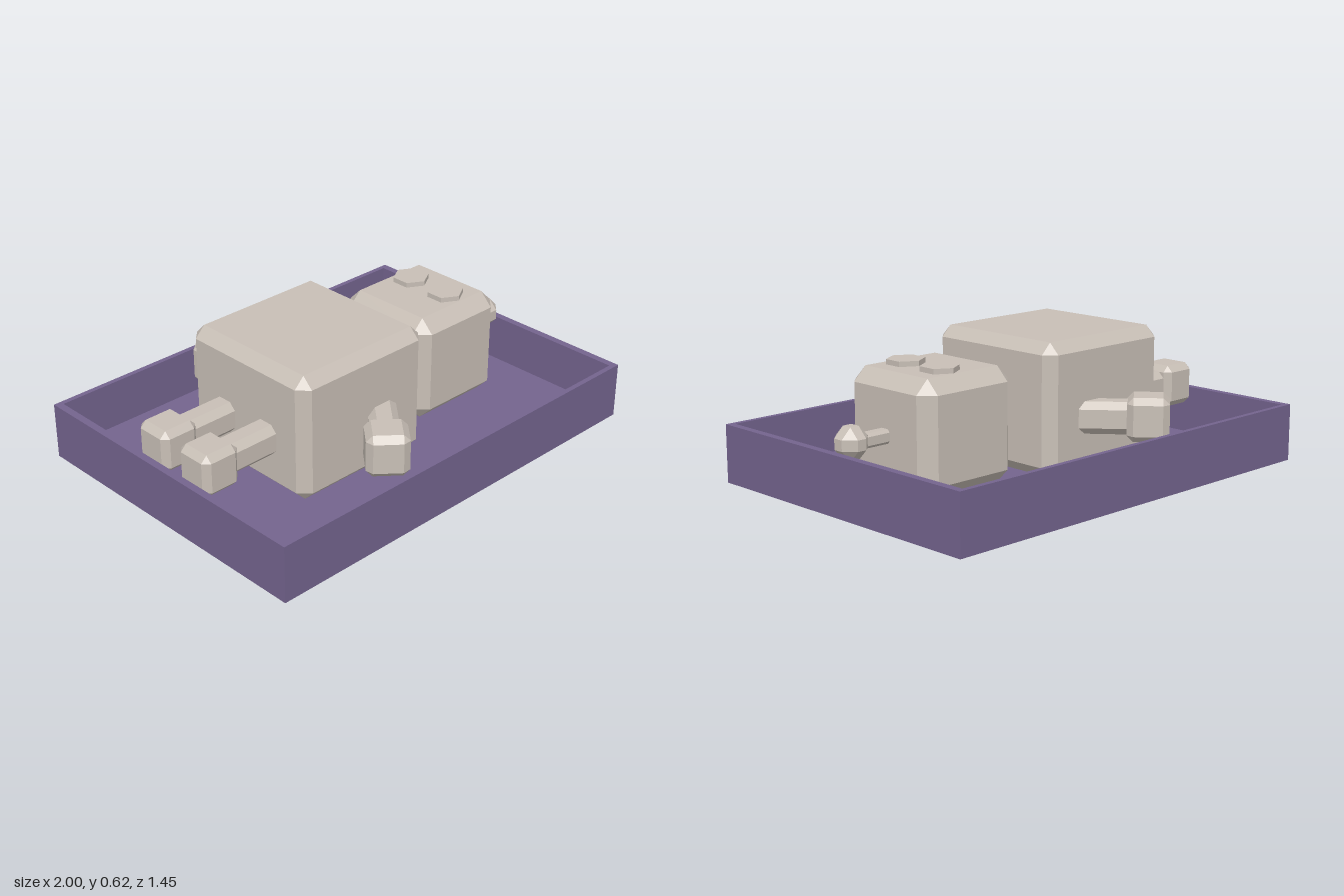
import * as THREE from 'three';
import { ConvexGeometry } from 'three/addons/geometries/ConvexGeometry.js';

const bodyMaterial = new THREE.MeshStandardMaterial({ color: 0xc8bfb6, flatShading: true });
const trayMaterial = new THREE.MeshStandardMaterial({ color: 0x74648e, flatShading: true });

// Box with every edge and corner cut by a flat chamfer
function chamferBox(w, h, d, c) {
  const half = [w / 2, h / 2, d / 2];
  const points = [];
  for (const sx of [-1, 1]) for (const sy of [-1, 1]) for (const sz of [-1, 1]) {
    const sign = [sx, sy, sz];
    for (let full = 0; full < 3; full++) {
      points.push(new THREE.Vector3(...half.map((v, i) => sign[i] * (i === full ? v : v - c))));
    }
  }
  return new ConvexGeometry(points);
}

function addMesh(parent, name, geometry, material, x, y, z) {
  const mesh = new THREE.Mesh(geometry, material);
  mesh.name = name;
  mesh.position.set(x, y, z);
  parent.add(mesh);
  return mesh;
}

// Limb running along local +x from its inner end, finishing in a chunky block
function makeLimb(name, endName, length, thickness, height, blockSize) {
  const limb = new THREE.Group();
  limb.name = name;
  addMesh(limb, name + 'Bar', chamferBox(length, height, thickness, 0.03), bodyMaterial, length / 2, 0, 0);
  addMesh(limb, endName, chamferBox(blockSize, 0.19, blockSize, 0.028), bodyMaterial, length, 0, 0);
  return limb;
}

function rectangle(Type, w, d) {
  const path = new Type();
  path.moveTo(-w, -d);
  path.lineTo(w, -d);
  path.lineTo(w, d);
  path.lineTo(-w, d);
  path.closePath();
  return path;
}

export function createModel() {
  const model = new THREE.Group();
  model.name = 'figureInTray';

  // Open tray: wall ring and floor
  const tray = new THREE.Group();
  tray.name = 'tray';
  model.add(tray);
  const ring = rectangle(THREE.Shape, 1, 0.725);
  ring.holes.push(rectangle(THREE.Path, 0.967, 0.702));
  const walls = new THREE.ExtrudeGeometry(ring, { depth: 0.255, bevelEnabled: false });
  walls.rotateX(-Math.PI / 2);
  addMesh(tray, 'trayWalls', walls, trayMaterial, 0, 0, 0);
  addMesh(tray, 'trayFloor', new THREE.BoxGeometry(1.94, 0.04, 1.41), trayMaterial, 0, 0.02, 0);

  // Figure lying on its back, head towards +x
  const figure = new THREE.Group();
  figure.name = 'figure';
  model.add(figure);
  addMesh(figure, 'torso', chamferBox(0.70, 0.575, 0.70, 0.048), bodyMaterial, -0.21, 0.333, 0.008);
  addMesh(figure, 'neck', chamferBox(0.24, 0.17, 0.18, 0.045), bodyMaterial, 0.19, 0.285, 0);
  addMesh(figure, 'head', chamferBox(0.50, 0.49, 0.50, 0.06), bodyMaterial, 0.487, 0.295, -0.003);

  // Eyes
  for (const z of [-0.108, 0.1]) {
    addMesh(figure, 'eye', new THREE.CylinderGeometry(0.082, 0.082, 0.04, 6), bodyMaterial, 0.535, 0.542, z);
  }

  // Antenna
  addMesh(figure, 'antennaRod', chamferBox(0.18, 0.06, 0.06, 0.012), bodyMaterial, 0.79, 0.287, 0);
  addMesh(figure, 'antennaTip', chamferBox(0.132, 0.136, 0.136, 0.045), bodyMaterial, 0.91, 0.29, 0);

  // Arms and legs, one pair per side
  for (const side of [-1, 1]) {
    const arm = makeLimb('arm', 'hand', 0.32, 0.125, 0.14, 0.18);
    arm.position.set(-0.06, 0.285, side * 0.285 + 0.005);
    arm.rotation.y = -side * THREE.MathUtils.degToRad(130.5);
    figure.add(arm);

    const leg = makeLimb('leg', 'foot', 0.36, 0.125, 0.14, 0.18);
    leg.position.set(-0.5, 0.285, side * 0.127 + 0.006);
    leg.rotation.y = Math.PI;
    figure.add(leg);
  }

  return model;
}
